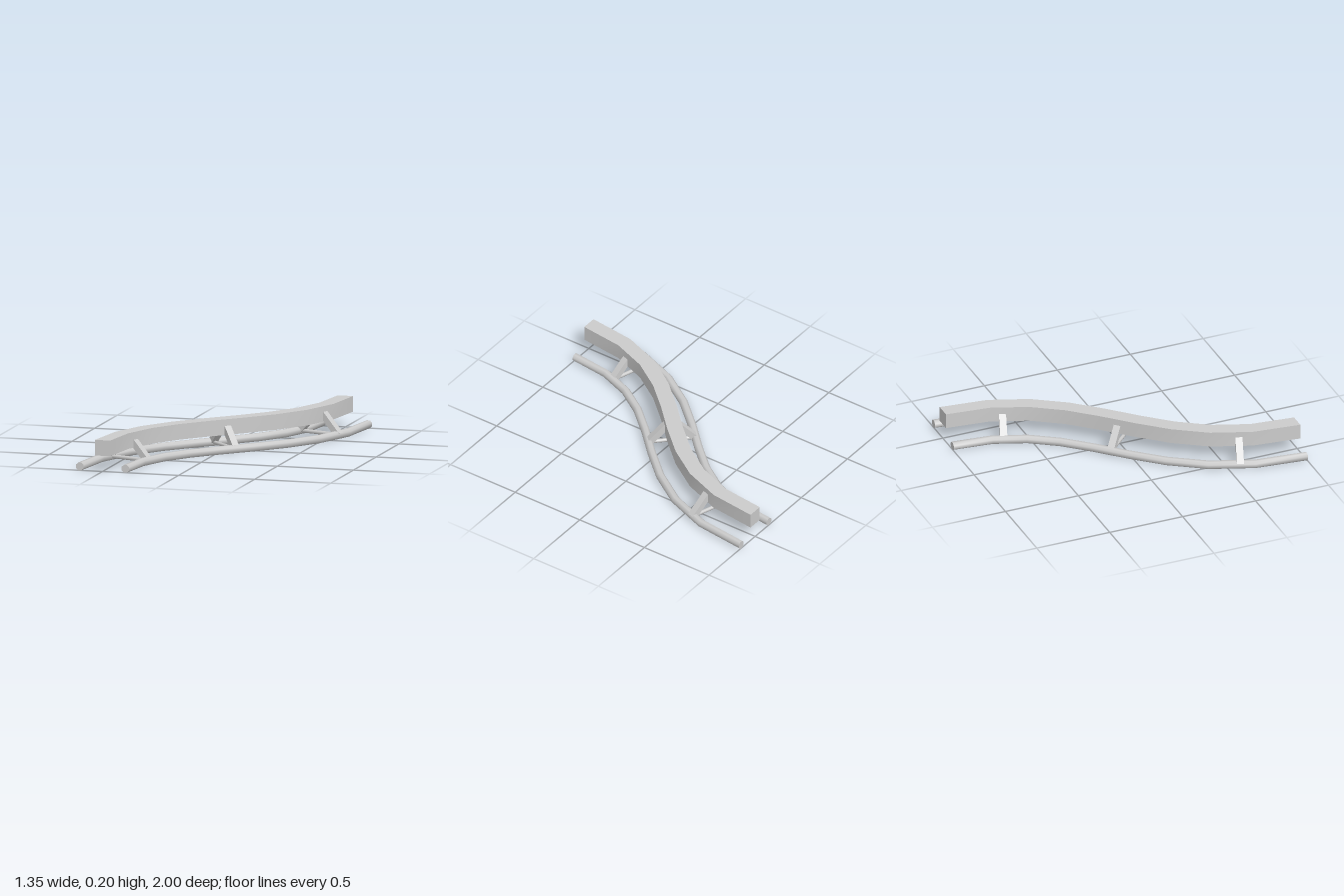
import * as THREE from 'three';
import { toCreasedNormals } from 'three/addons/utils/BufferGeometryUtils.js';

const material = new THREE.MeshStandardMaterial({ color: 0xcccccc, side: THREE.DoubleSide });
const SEGMENTS = 9;
const GAUGE = 0.15; // rail distance from the centre line
const RAIL_Y = 0.025;

// S-shaped centre line, running from front to back
const path = new THREE.CubicBezierCurve3(
  new THREE.Vector3(-0.5, 0, 1),
  new THREE.Vector3(-0.5, 0, 0),
  new THREE.Vector3(0.5, 0, 0),
  new THREE.Vector3(0.5, 0, -1)
);
const sideways = (tangent) => new THREE.Vector3(-tangent.z, 0, tangent.x);

// Sweeps a closed profile of [sideways, up] points along the centre line
function sweep(name, profile) {
  const positions = [], index = [], n = profile.length;
  for (let i = 0; i <= SEGMENTS; i++) {
    const p = path.getPoint(i / SEGMENTS);
    const side = sideways(path.getTangent(i / SEGMENTS));
    // the end cuts are exactly square to z
    if (i === 0 || i === SEGMENTS) side.set(1, 0, 0);
    for (const [s, y] of profile) positions.push(p.x + side.x * s, y, p.z + side.z * s);
  }
  for (let i = 0; i < SEGMENTS; i++) {
    for (let k = 0; k < n; k++) {
      const a = i * n + k, b = i * n + (k + 1) % n;
      index.push(a, a + n, b + n, a, b + n, b);
    }
  }
  const end = SEGMENTS * n;
  for (let k = 1; k < n - 1; k++) index.push(0, k, k + 1, end, end + k + 1, end + k);
  const geometry = new THREE.BufferGeometry();
  geometry.setAttribute('position', new THREE.Float32BufferAttribute(positions, 3));
  geometry.setIndex(index);
  const mesh = new THREE.Mesh(toCreasedNormals(geometry, 0.9), material);
  mesh.name = name;
  return mesh;
}

// Eight-sided tube profile
function railProfile(offset) {
  const radius = 0.025 / Math.cos(Math.PI / 8);
  return Array.from({ length: 8 }, (_, k) => {
    const a = (k + 0.5) * Math.PI / 4;
    return [offset + radius * Math.cos(a), RAIL_Y + radius * Math.sin(a)];
  });
}

// Two slanted struts and a cross tie, square to the track
function createSupport(u) {
  const group = new THREE.Group();
  group.name = 'support';
  const side = sideways(path.getTangentAt(u));
  group.position.copy(path.getPointAt(u));
  group.rotation.y = Math.atan2(-side.z, side.x);

  const inner = 0.03, top = 0.15;
  const dx = GAUGE - inner, dy = RAIL_Y - top;
  for (const s of [-1, 1]) {
    const strut = new THREE.Mesh(new THREE.BoxGeometry(Math.hypot(dx, dy), 0.04, 0.045), material);
    strut.name = s < 0 ? 'rightStrut' : 'leftStrut';
    strut.position.set(s * (inner + GAUGE) / 2, (top + RAIL_Y) / 2, 0);
    strut.rotation.z = s * Math.atan2(dy, dx);
    group.add(strut);
  }

  const tie = new THREE.Mesh(new THREE.CylinderGeometry(0.0125, 0.0125, GAUGE * 2, 8), material);
  tie.name = 'crossTie';
  tie.rotation.z = Math.PI / 2;
  tie.position.y = RAIL_Y;
  group.add(tie);
  return group;
}

export function createModel() {
  const model = new THREE.Group();
  model.name = 'curvedTrack';
  // Box-section backbone and the two running rails
  model.add(sweep('spine', [[-0.05, 0.1], [0.05, 0.1], [0.05, 0.2], [-0.05, 0.2]]));
  model.add(sweep('rightRail', railProfile(-GAUGE)));
  model.add(sweep('leftRail', railProfile(GAUGE)));
  // Supports at equal distances along the track
  for (let i = 0; i < 3; i++) model.add(createSupport((i + 0.5) / 3));
  return model;
}
